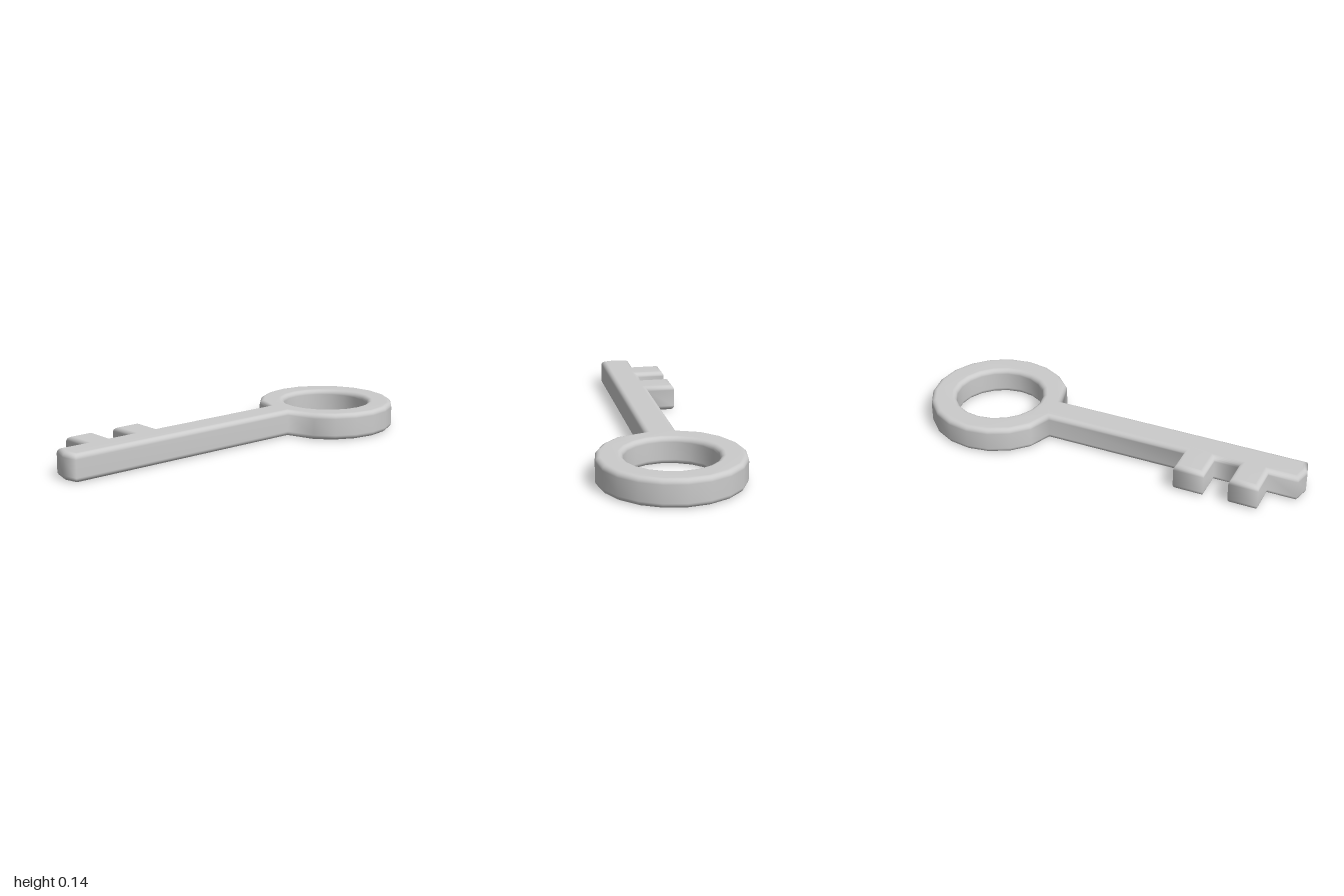
import * as THREE from 'three';
import { mergeVertices } from 'three/addons/utils/BufferGeometryUtils.js';

const THICKNESS = 0.136, BEVEL = 0.025;
const RING_Z = -0.649, RING_R = 0.351, HOLE_R = 0.222, SIDES = 20;

// Point on the ring: step 0 faces the back, steps run towards +x
function ringPoint(radius, step) {
  const a = (step / SIDES) * Math.PI * 2;
  return [radius * Math.sin(a), RING_Z - radius * Math.cos(a)];
}

// Plan coordinates (x, z) to shape coordinates (x, -z)
const toShape = (points) => points.map(([x, z]) => new THREE.Vector2(x, -z));

export function createModel() {
  const model = new THREE.Group();
  model.name = 'key';

  const left = 0.062, right = -0.095, toothTip = -0.24;
  const outline = [];

  // Bow: ring outline, left open at the front where the shaft starts
  for (let i = -8; i <= 8; i++) outline.push(ringPoint(RING_R, i));

  // Shaft and slightly pointed tip
  outline.push([left, -0.32], [left, 0.98], [-0.015, 1], [right, 0.98]);

  // Two teeth on the right side, front to back
  for (const [front, back] of [[0.833, 0.685], [0.563, 0.408]]) {
    outline.push([right, front], [toothTip, front], [toothTip, back], [right, back]);
  }
  outline.push([right, -0.32]);

  // Finger hole, wound opposite to the outline
  const shape = new THREE.Shape(toShape(outline));
  const hole = [];
  for (let i = SIDES; i > 0; i--) hole.push(ringPoint(HOLE_R, i));
  shape.holes.push(new THREE.Path(toShape(hole)));

  // Rounded slab lying flat on the ground
  const slab = new THREE.ExtrudeGeometry(shape, {
    depth: THICKNESS - 2 * BEVEL,
    bevelThickness: BEVEL,
    bevelSize: BEVEL,
    bevelOffset: -BEVEL,
    bevelSegments: 5,
  });
  slab.translate(0, 0, BEVEL);
  slab.rotateX(-Math.PI / 2);

  // Weld the faces so the shading is smooth all over
  slab.deleteAttribute('normal');
  slab.deleteAttribute('uv');
  const smoothSlab = mergeVertices(slab);
  smoothSlab.computeVertexNormals();

  const body = new THREE.Mesh(
    smoothSlab,
    new THREE.MeshStandardMaterial({ color: 0xcccccc })
  );
  body.name = 'keyBody';
  model.add(body);
  return model;
}
